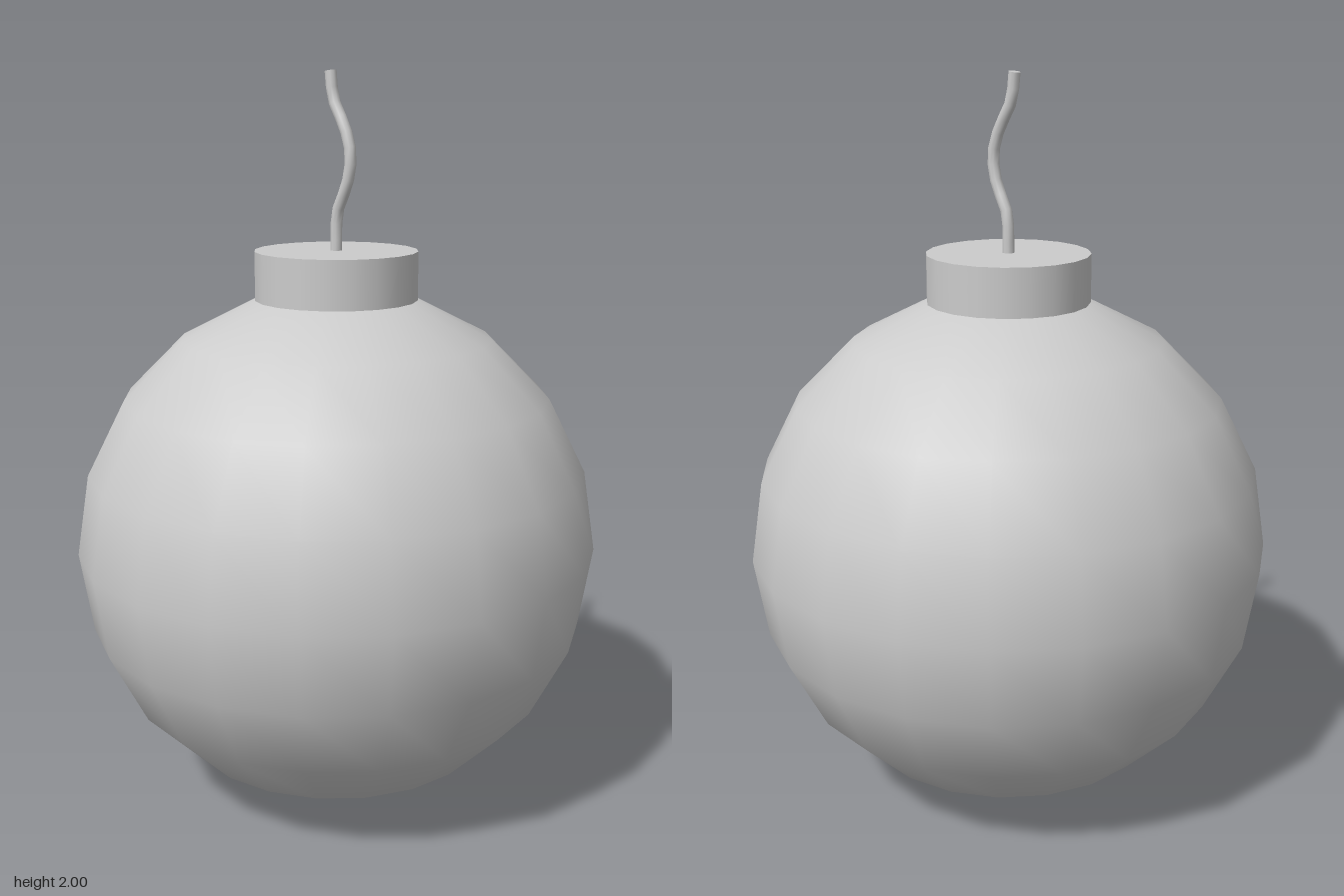
import * as THREE from 'three';

export function createModel() {
  const group = new THREE.Group();
  const material = new THREE.MeshStandardMaterial({ color: 0xcccccc });
  const add = (name, geometry, y = 0) => {
    const mesh = new THREE.Mesh(geometry, material);
    mesh.name = name;
    mesh.position.y = y;
    group.add(mesh);
    return mesh;
  };

  // Round body, smooth shaded with a 20-sided outline
  const radius = 0.718, sides = 20;
  add('body', new THREE.SphereGeometry(radius, sides, 10), radius);

  // Neck collar sits on the first ring below the top of the sphere
  const neckBottom = 1.402, neckTop = 1.533;
  add('neck', new THREE.CylinderGeometry(0.221, 0.221, neckTop - neckBottom, sides),
    (neckTop + neckBottom) / 2);

  // Wavy fuse, bending only in the z direction: [y, z]
  const fuseRadius = 0.016;
  const path = new THREE.CatmullRomCurve3([
    [1.52, 0], [1.635, 0.005], [1.71, 0.04], [1.783, 0.052],
    [1.85, 0.033], [1.925, -0.009], [1.998, -0.02],
  ].map(([y, z]) => new THREE.Vector3(0, y, z)));
  add('fuse', new THREE.TubeGeometry(path, 12, fuseRadius, 10));

  // Closed end of the fuse
  const tip = add('fuseTip', new THREE.CircleGeometry(fuseRadius, 10));
  tip.position.copy(path.getPointAt(1));
  tip.quaternion.setFromUnitVectors(new THREE.Vector3(0, 0, 1), path.getTangentAt(1));

  return group;
}
